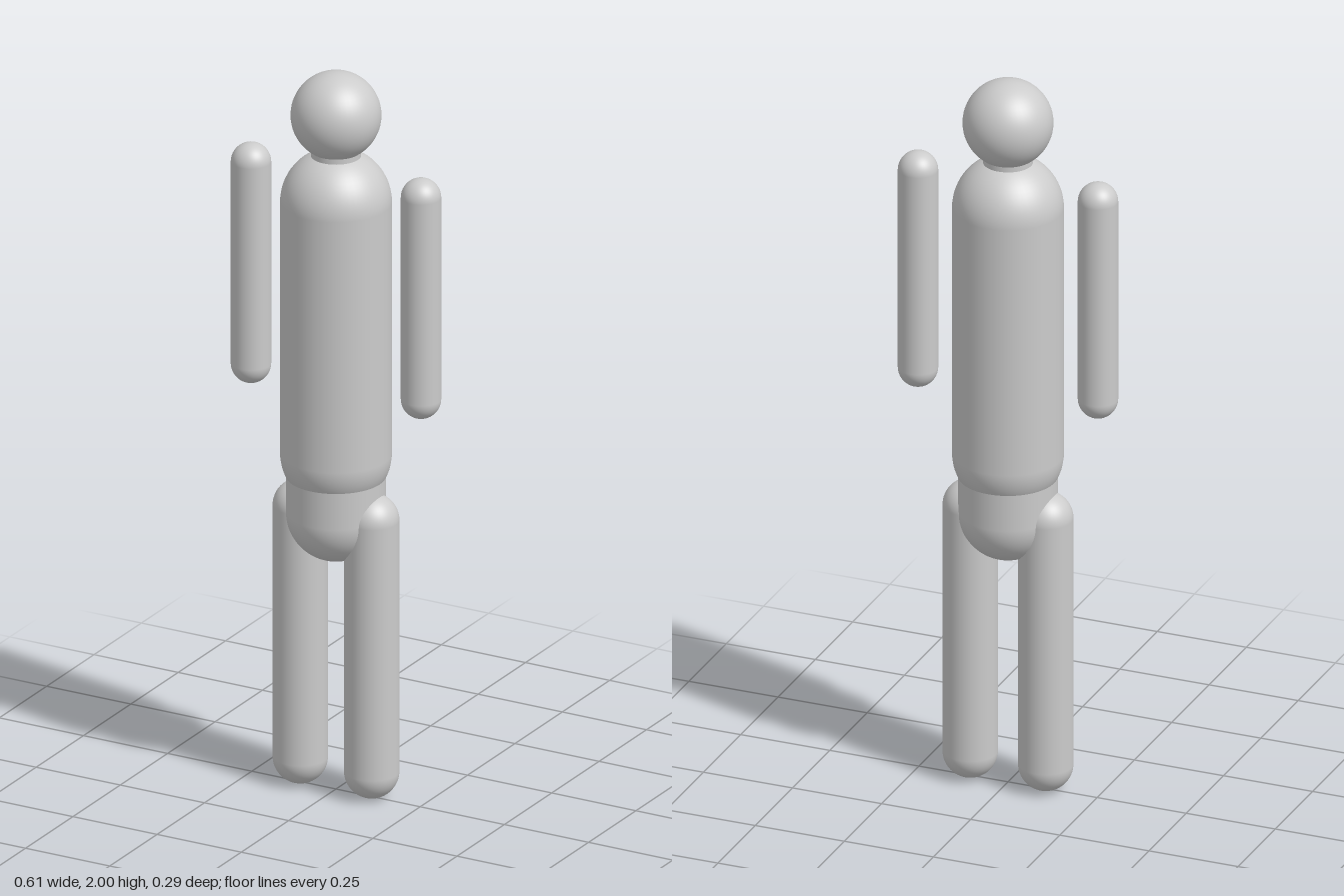
import * as THREE from 'three';

const material = new THREE.MeshStandardMaterial({ color: 0xcccccc });

// Upright capsule whose straight wall runs from y0 to y1
function capsule(name, radius, y0, y1, x = 0) {
  const mesh = new THREE.Mesh(new THREE.CapsuleGeometry(radius, y1 - y0, 16, 48), material);
  mesh.name = name;
  mesh.position.set(x, (y0 + y1) / 2, 0);
  return mesh;
}

export function createModel() {
  const model = new THREE.Group();
  model.name = 'figure';

  // Head and neck
  const head = new THREE.Mesh(new THREE.SphereGeometry(0.118, 48, 32), material);
  head.name = 'head';
  head.position.y = 1.882;
  const neck = new THREE.Mesh(new THREE.CylinderGeometry(0.065, 0.065, 0.1, 48), material);
  neck.name = 'neck';
  neck.position.y = 1.777;
  model.add(head, neck);

  // Trunk
  model.add(capsule('torso', 0.145, 0.94, 1.64));
  model.add(capsule('pelvis', 0.13, 0.775, 0.9));

  // Limbs, mirrored left and right
  for (const [side, s] of [['left', 1], ['right', -1]]) {
    model.add(capsule(side + 'Arm', 0.0525, 1.14, 1.702, s * 0.2525));
    model.add(capsule(side + 'Leg', 0.072, 0.072, 0.772, s * 0.106));
  }
  return model;
}
